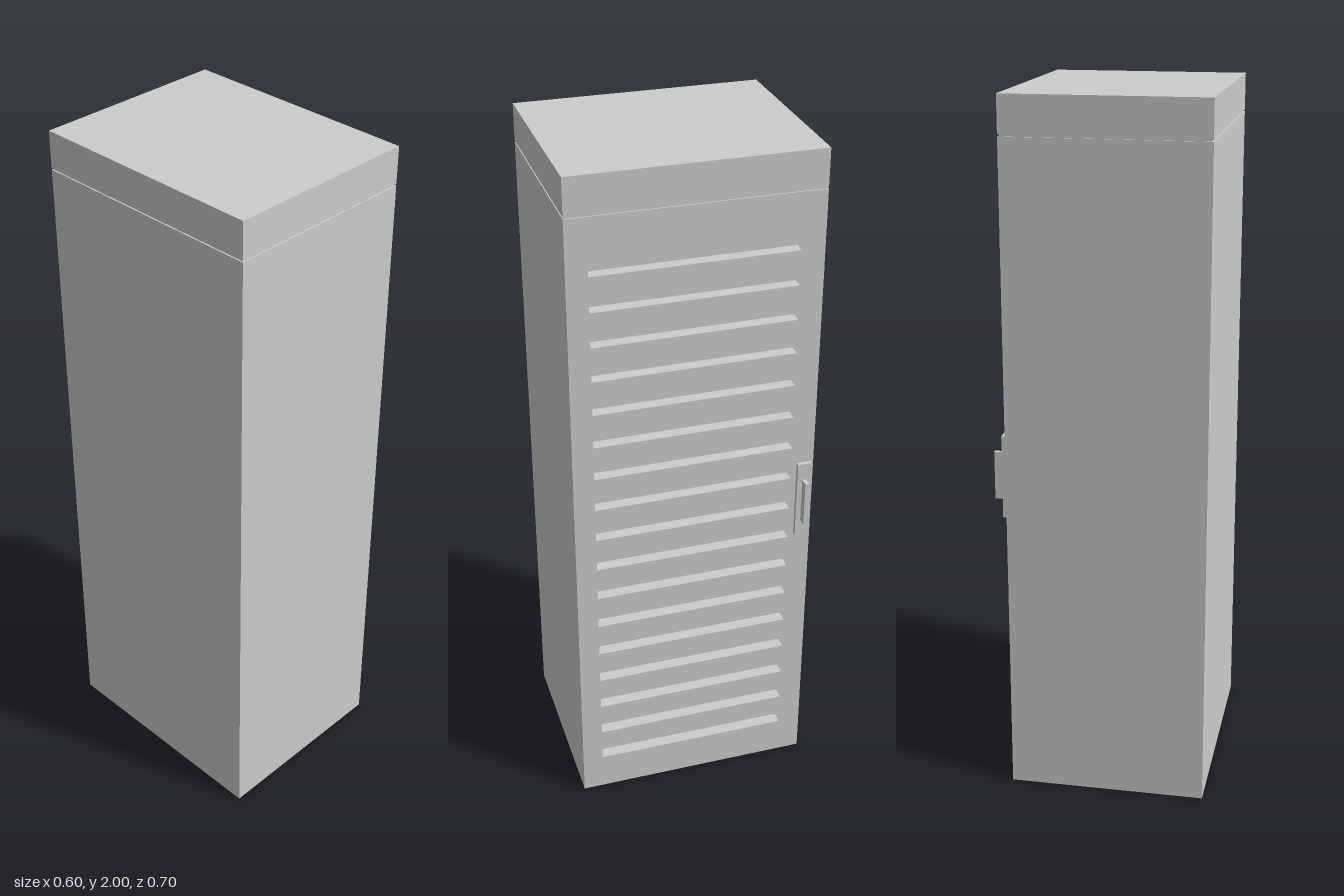
import * as THREE from 'three';

const BACK = -0.302, FACE = 0.263, HALF = 0.35; // cabinet limits in x and z
const CAP_Y = 1.895, BODY_TOP = 1.89;

export function createModel() {
  const root = new THREE.Group();
  const mat = new THREE.MeshStandardMaterial({ color: 0xcccccc, flatShading: true });

  const add = (name, geo, parent = root) => {
    const mesh = new THREE.Mesh(geo, mat);
    mesh.name = name;
    parent.add(mesh);
    return mesh;
  };
  // box given by its limits on each axis
  const box = (name, x0, x1, y0, y1, z0, z1, parent) => {
    const m = add(name, new THREE.BoxGeometry(x1 - x0, y1 - y0, z1 - z0), parent);
    m.position.set((x0 + x1) / 2, (y0 + y1) / 2, (z0 + z1) / 2);
    return m;
  };
  const rect = (path, z0, z1, y0, y1) =>
    path.moveTo(-z0, y0).lineTo(-z1, y0).lineTo(-z1, y1).lineTo(-z0, y1).closePath();
  // upright plate facing +x, pierced by rectangular holes [z0, z1, y0, y1]
  const piercedPlate = (name, depth, y0, y1, holes) => {
    const shape = rect(new THREE.Shape(), -HALF, HALF, y0, y1);
    for (const h of holes) shape.holes.push(rect(new THREE.Path(), ...h));
    const geo = new THREE.ExtrudeGeometry(shape, { depth, bevelEnabled: false });
    geo.rotateY(Math.PI / 2);
    add(name, geo).position.x = FACE - depth;
  };

  // Cabinet and its door frame around the recessed panel
  const recess = 0.05;
  box('cabinetBody', BACK, FACE - recess, 0, BODY_TOP, -HALF, HALF);
  piercedPlate('doorFrame', recess, 0, BODY_TOP, [[-0.29, 0.29, 0.06, 1.835]]);

  // Horizontal slats standing out from the panel
  const slats = new THREE.Group();
  slats.name = 'slats';
  root.add(slats);
  for (let i = 0; i < 17; i++) {
    const y = 0.09 + i * 0.1013;
    box('slat', FACE - recess, FACE - 0.015, y - 0.009, y + 0.009, -0.29, 0.29, slats);
  }

  // Shadow gap and top cap
  box('shadowGap', BACK + 0.004, FACE - 0.004, BODY_TOP, CAP_Y, -HALF + 0.004, HALF - 0.004);
  const ventDepth = 0.02;
  box('topCap', BACK, FACE - ventDepth, CAP_Y, 2, -HALF, HALF);

  // Vent grille: three groups of three slots
  const slots = [];
  for (const [z0, z1] of [[0.145, 0.325], [-0.122, 0.13], [-0.322, -0.137]])
    for (const y of [1.928, 1.953, 1.978]) slots.push([z0, z1, y - 0.008, y + 0.008]);
  piercedPlate('ventGrille', ventDepth, CAP_Y, 2, slots);

  // Door handle: back plate with a thin grip
  const handle = new THREE.Group();
  handle.name = 'handle';
  root.add(handle);
  box('handlePlate', FACE, 0.275, 0.83, 1.07, -0.341, -0.3, handle);
  box('handleGrip', 0.275, 0.3, 0.88, 1.018, -0.327, -0.315, handle);

  return root;
}
